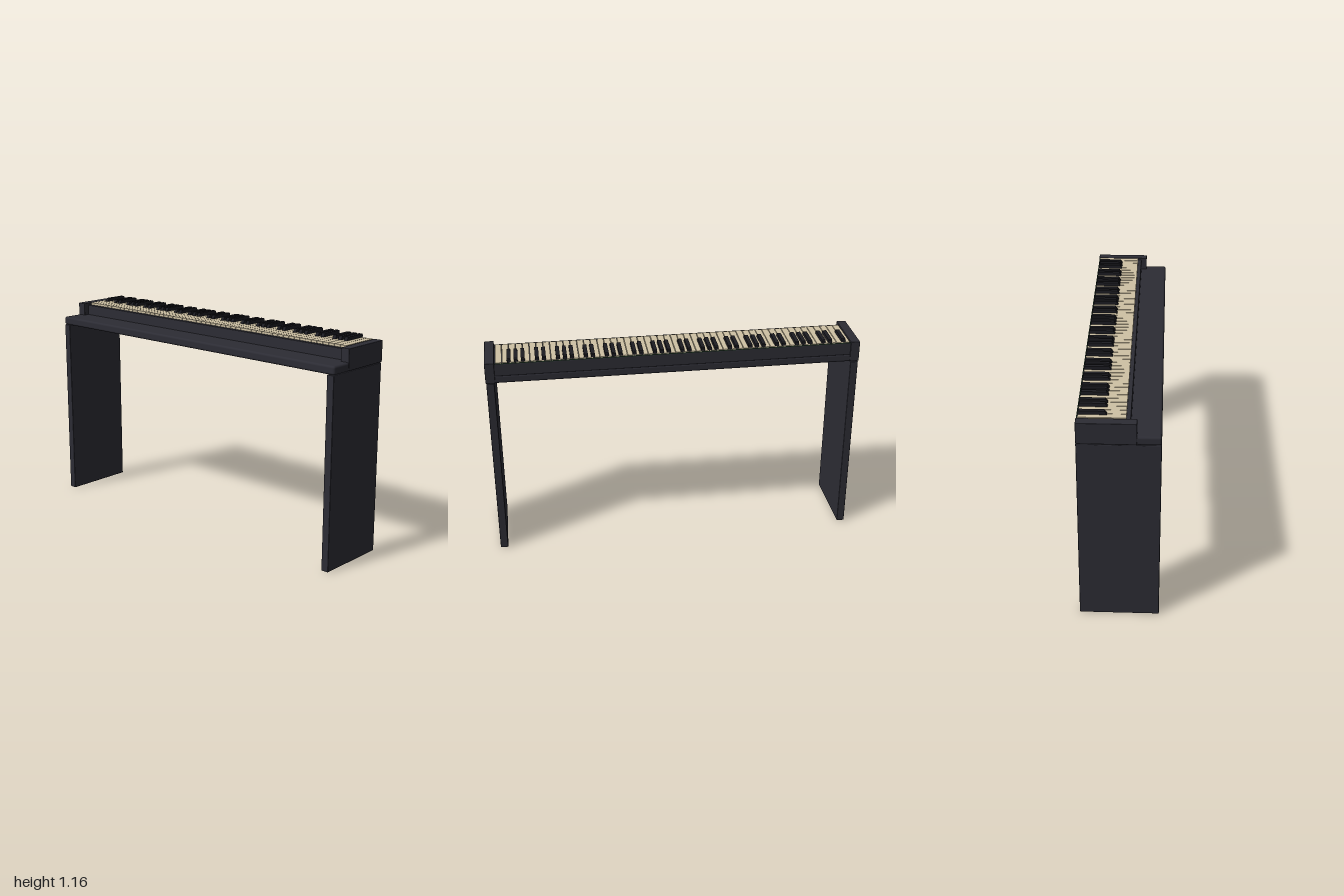
import * as THREE from 'three';
import { RoundedBoxGeometry } from 'three/addons/geometries/RoundedBoxGeometry.js';

const material = (name, color) => {
  const m = new THREE.MeshStandardMaterial({ color });
  m.name = name;
  return m;
};

export function createModel() {
  const piano = new THREE.Group();
  piano.name = 'digitalPiano';
  const casing = material('charcoal casing', 0x2c2c34);
  const ivory = material('ivory keys', 0xcfc2a4);
  const ebony = material('black keys', 0x1c1c22);
  const felt = material('green felt', 0x1f3324);

  const add = (name, geometry, mat, x = 0, y = 0, z = 0, parent = piano) => {
    const mesh = new THREE.Mesh(geometry, mat);
    mesh.name = name;
    mesh.position.set(x, y, z);
    parent.add(mesh);
    return mesh;
  };
  // Box given by its limits, with optionally rounded edges
  const block = (name, mat, [x0, x1], [y0, y1], [z0, z1], radius = 0, parent = piano) => {
    const size = [x1 - x0, y1 - y0, z1 - z0];
    const geometry = radius
      ? new RoundedBoxGeometry(...size, 3, radius)
      : new THREE.BoxGeometry(...size);
    return add(name, geometry, mat, (x0 + x1) / 2, (y0 + y1) / 2, (z0 + z1) / 2, parent);
  };

  // Panel legs and cheek blocks at both ends
  for (const [side, s] of [['left', 1], ['right', -1]]) {
    const span = (a, b) => (s > 0 ? [a, b] : [-b, -a]);
    block(side + 'Leg', casing, span(0.955, 0.997), [0, 1.028], [-0.203, 0.204], 0.004);
    block(side + 'Cheek', casing, span(0.95, 1), [1.031, 1.144], [-0.203, 0.087], 0.003);
  }

  // Base slab with a rounded front shelf, and the key bed above it
  block('shelf', casing, [-0.999, 0.999], [1.028, 1.074], [-0.201, 0.204], 0.012);
  block('keyBed', casing, [-0.951, 0.951], [1.07, 1.128], [-0.192, 0.035]);
  block('frontRail', casing, [-0.951, 0.951], [1.07, 1.132], [0.034, 0.056], 0.003);
  block('backRail', casing, [-0.951, 0.951], [1.07, 1.138], [-0.2, -0.19], 0.003);
  block('feltStrip', felt, [-0.948, 0.948], [1.137, 1.141], [-0.201, -0.197]);

  // 52 white keys, A to C
  const start = -0.945, pitch = 1.89 / 52;
  const whiteKeys = new THREE.Group();
  whiteKeys.name = 'whiteKeys';
  const blackKeys = new THREE.Group();
  blackKeys.name = 'blackKeys';
  piano.add(whiteKeys, blackKeys);
  const whiteGeometry = new THREE.BoxGeometry(pitch - 0.003, 0.018, 0.23);

  // Black key: side profile with a sloped front, extruded across its width
  const profile = new THREE.Shape();
  profile.moveTo(-0.195, 1.136);
  profile.lineTo(-0.056, 1.136);
  profile.lineTo(-0.058, 1.146);
  profile.lineTo(-0.069, 1.163);
  profile.lineTo(-0.191, 1.163);
  profile.lineTo(-0.195, 1.158);
  const blackWidth = 0.02;
  const blackGeometry = new THREE.ExtrudeGeometry(profile, { depth: blackWidth, bevelEnabled: false });
  blackGeometry.translate(0, 0, -blackWidth / 2).rotateY(-Math.PI / 2);

  // Octave pattern from A: a black key follows A, C, D, F and G
  const sharpAfter = [true, false, true, true, false, true, true];
  for (let i = 0; i < 52; i++) {
    add('whiteKey', whiteGeometry, ivory, start + (i + 0.5) * pitch, 1.135, -0.08, whiteKeys);
    if (sharpAfter[i % 7] && i < 51) {
      add('blackKey', blackGeometry, ebony, start + (i + 1) * pitch, 0, 0, blackKeys);
    }
  }
  return piano;
}
